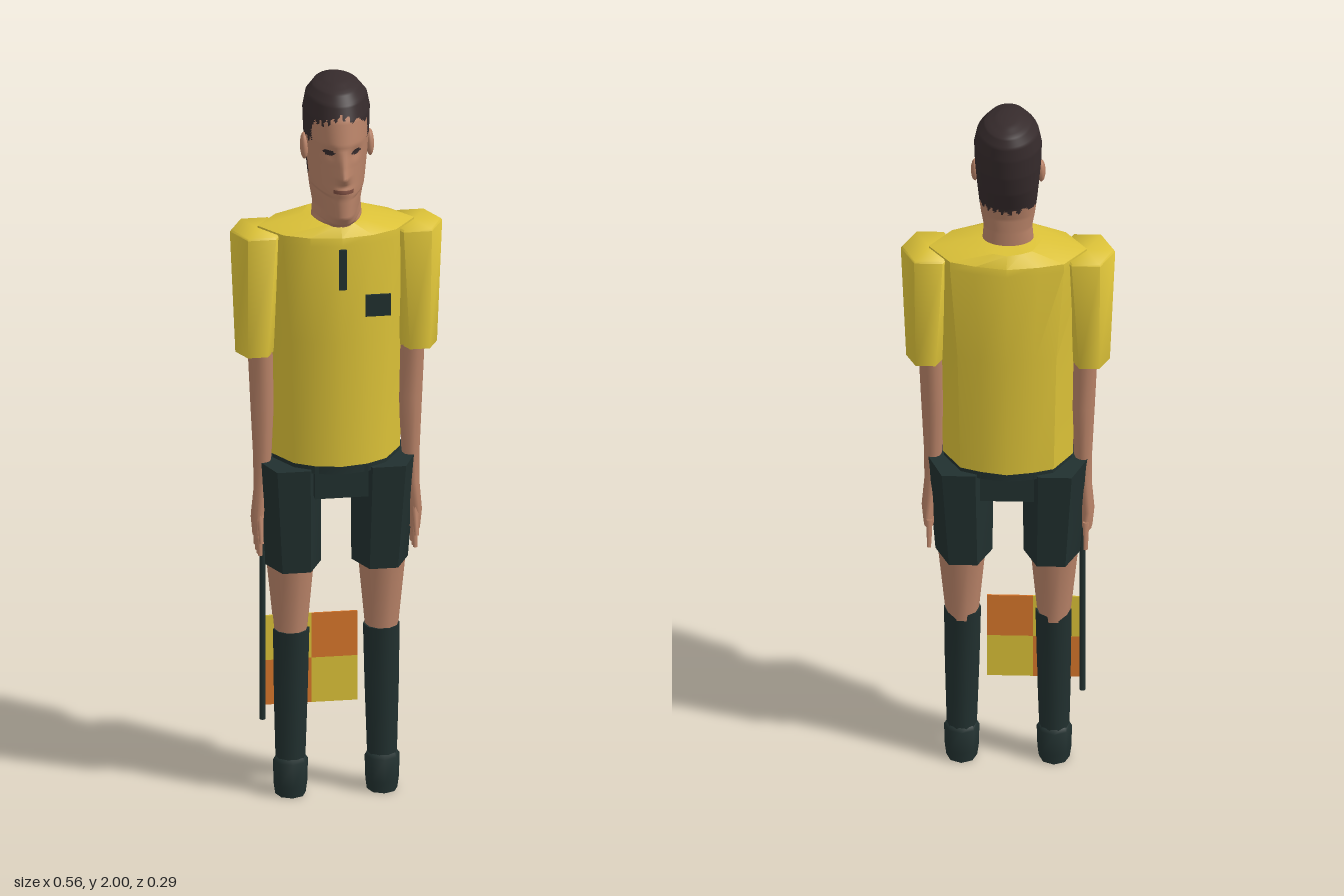
import * as THREE from 'three';
import { toCreasedNormals } from 'three/addons/utils/BufferGeometryUtils.js';

const mat = (name, color, side = THREE.FrontSide) => {
  const m = new THREE.MeshStandardMaterial({ color, side });
  m.name = name;
  return m;
};

// Skin a stack of closed rings (bottom to top, each running from +x towards +z).
function loftData(rings) {
  const n = rings[0].length, pos = rings.flat(2), faces = [];
  const centre = (r) => [0, 1, 2].map((k) => r.reduce((s, p) => s + p[k], 0) / n);
  for (let j = 0; j < rings.length - 1; j++)
    for (let i = 0; i < n; i++) {
      const a = j * n + i, b = j * n + (i + 1) % n;
      faces.push([a, a + n, b], [b, a + n, b + n]);
    }
  const low = rings.length * n, top = low - n;
  pos.push(...centre(rings[0]), ...centre(rings[rings.length - 1]));
  for (let i = 0; i < n; i++) {
    const k = (i + 1) % n;
    faces.push([low, i, k], [low + 1, top + k, top + i]);
  }
  const geo = new THREE.BufferGeometry();
  geo.setAttribute('position', new THREE.Float32BufferAttribute(pos, 3));
  return { geo, faces };
}

function loft(rings, crease = 1.1) {
  const { geo, faces } = loftData(rings);
  geo.setIndex(faces.flat());
  return toCreasedNormals(geo, crease);
}

// Elliptical ring with n sides.
const ring = (y, cx, cz, rx, rz, n = 6) => Array.from({ length: n }, (_, i) => {
  const a = (i / n) * Math.PI * 2;
  return [cx + rx * Math.cos(a), y, cz + rz * Math.sin(a)];
});

// Torso section: pointed at the sides, gently bowed front and back.
const half = [[1, -0.03], [0.72, 0.05], [0.4, 0.082], [0, 0.095]];
const back = [[0.4, -0.128], [0.72, -0.108]];
const outline = [...half, ...half.slice(0, 3).reverse().map(([x, z]) => [-x, z]),
  ...back.slice().reverse().map(([x, z]) => [-x, z]), [0, -0.142], ...back];
const torsoRing = (y, hw, depth) =>
  outline.map(([x, z]) => [x * hw, y, -0.025 + (z + 0.025) * depth]);

// Head profile: y, front z, back z, half width.
const PROFILE = [
  [1.56, 0.045, -0.065, 0.06], [1.62, 0.07, -0.065, 0.066], [1.635, 0.105, -0.065, 0.065],
  [1.66, 0.123, -0.065, 0.063], [1.7, 0.122, -0.066, 0.07], [1.74, 0.12, -0.076, 0.075],
  [1.8, 0.114, -0.1, 0.081], [1.86, 0.114, -0.115, 0.086], [1.92, 0.1, -0.123, 0.088],
  [1.96, 0.082, -0.123, 0.08], [1.985, 0.055, -0.11, 0.06], [2.0, 0.01, -0.07, 0.025],
];
function profileAt(y) {
  let i = 0;
  while (i < PROFILE.length - 2 && y > PROFILE[i + 1][0]) i++;
  const [a, b] = [PROFILE[i], PROFILE[i + 1]], t = (y - a[0]) / (b[0] - a[0]);
  return a.map((v, k) => v + (b[k] - v) * t);
}
const bump = (v, c, w) => Math.exp(-(((v - c) / w) ** 2));

function headRing(y) {
  const [, zf, zb, hw] = profileAt(y), zc = -0.02;
  const taper = y < 1.72 && y > 1.625 ? 0.4 : 0.18;
  const nose = y > 1.775 ? Math.max(0, (1.85 - y) / 0.075) : Math.max(0, (y - 1.75) / 0.025);
  return Array.from({ length: 80 }, (_, i) => {
    const a = (i / 80) * Math.PI * 2, s = Math.sin(a);
    const x = hw * Math.cos(a) * (s > 0 ? 1 - taper * s * Math.abs(Math.cos(a)) : 1);
    let z = zc + (s > 0 ? (zf - zc) * s : (zc - zb) * s);
    if (s > 0) {
      z += 0.027 * nose * bump(x, 0, 0.015);
      z -= 0.008 * bump(Math.abs(x), 0.035, 0.015) * bump(y, 1.835, 0.016);
      z += 0.005 * bump(y, 1.733, 0.014) * bump(x, 0, 0.025);
    }
    return [x, y, z];
  });
}

// 0 skin, 1 hair and eyes, 2 lips
function headColour(x, y, z) {
  const ax = Math.abs(x);
  let line = z > 0.035 ? 1.9 + 0.035 * (1 - ax / 0.08) : z > -0.012 ? 1.85 : 1.74 - 0.015 * (1 - ax / 0.08);
  line += 0.008 * Math.sin(x * 300 + z * 170);
  if (y > line) return 1;
  if (z > 0.03 && ((ax - 0.036) / 0.014) ** 2 + ((y - 1.838) / 0.007) ** 2 < 1) return 1;
  if (z > 0.03 && ax < 0.026 && Math.abs(y - 1.735) < 0.004) return 2;
  return 0;
}

function headGeometry() {
  const rows = Array.from({ length: 89 }, (_, j) => headRing(1.56 + j * 0.005));
  const { geo, faces } = loftData(rows);
  const p = geo.attributes.position, buckets = [[], [], []];
  for (const f of faces) {
    const [x, y, z] = ['getX', 'getY', 'getZ'].map((g) => f.reduce((s, v) => s + p[g](v), 0) / 3);
    buckets[headColour(x, y, z)].push(...f);
  }
  geo.setIndex(buckets.flat());
  let start = 0;
  buckets.forEach((b, k) => { geo.addGroup(start, b.length, k); start += b.length; });
  geo.computeVertexNormals();
  return geo;
}

export function createModel() {
  const model = new THREE.Group();
  const yellow = mat('shirt yellow', 0xdcc238);
  const dark = mat('dark green', 0x21302f);
  const skin = mat('skin', 0xb98368);
  const hair = mat('hair brown', 0x362b2c);
  const lips = mat('lips', 0x7c4d40);
  const orange = mat('flag orange', 0xd9772b);

  const add = (name, geo, material, x = 0, y = 0, z = 0, parent = model) => {
    const m = new THREE.Mesh(geo, material);
    m.name = name;
    m.position.set(x, y, z);
    parent.add(m);
    return m;
  };
  const box = (name, w, h, d, material, x, y, z) =>
    add(name, new THREE.BoxGeometry(w, h, d), material, x, y, z);

  // Head and ears
  add('head', headGeometry(), [skin, hair, lips]);
  for (const s of [1, -1]) {
    const ear = add(s > 0 ? 'leftEar' : 'rightEar', new THREE.SphereGeometry(1, 12, 8), skin, s * 0.086, 1.82, -0.008);
    ear.scale.set(0.011, 0.036, 0.02);
    ear.rotation.x = -0.2;
  }

  // Shirt and waistband
  add('shirt', loft([torsoRing(0.952, 0.168, 0.96), torsoRing(1.3, 0.178, 1.03),
    torsoRing(1.57, 0.205, 0.97), torsoRing(1.592, 0.205, 0.94), torsoRing(1.62, 0.09, 0.75)], 0.6), yellow);
  add('waistband', loft([torsoRing(0.93, 0.166, 0.95), torsoRing(0.953, 0.166, 0.95)], 0.6), dark);
  box('shortsCentre', 0.14, 0.09, 0.2, dark, 0, 0.905, -0.022);

  // Painted shirt details
  box('placket', 0.02, 0.112, 0.006, dark, 0, 1.508, 0.098);
  box('chestPocket', 0.066, 0.06, 0.006, dark, 0.093, 1.403, 0.095);

  for (const s of [1, -1]) {
    const side = s > 0 ? 'left' : 'right';
    const R = (y, cx, cz, rx, rz, n) => ring(y, s * cx, cz, rx, rz, n);

    // Sleeve
    add(side + 'Sleeve', loft([R(1.245, 0.212, -0.022, 0.052, 0.058), R(1.582, 0.204, -0.025, 0.074, 0.084),
      R(1.587, 0.204, -0.025, 0.07, 0.08)]), yellow);

    // Arm down to the wrist, then the palm
    add(side + 'Arm', loft([
      R(0.73, 0.205, -0.024, 0.014, 0.036, 10), R(0.78, 0.207, -0.02, 0.017, 0.036, 10),
      R(0.86, 0.2, -0.018, 0.017, 0.021, 10), R(0.95, 0.194, -0.018, 0.024, 0.025, 10),
      R(1.1, 0.194, -0.021, 0.031, 0.033, 10), R(1.3, 0.2, -0.022, 0.034, 0.042, 10)]), skin);

    // Fingers and thumb fan out below the palm
    const hand = new THREE.Group();
    hand.name = side + 'Hand';
    model.add(hand);
    for (let i = 0; i < 5; i++) {
      const thumb = i === 4;
      const f = add(thumb ? 'thumb' : 'finger', new THREE.CylinderGeometry(0.009, 0.006, 0.075, 6), skin,
        s * 0.203, thumb ? 0.758 : 0.712 + 0.004 * Math.abs(i - 1.5), thumb ? 0.018 : -0.065 + i * 0.022, hand);
      f.rotation.x = thumb ? -0.4 : 0.25 - i * 0.15;
    }

    // Shorts leg, bare knee, sock and boot
    add(side + 'ShortsLeg', loft([R(0.645, 0.114, -0.024, 0.074, 0.09), R(0.94, 0.125, -0.024, 0.087, 0.12)]), dark);
    add(side + 'Leg', loft([R(0.44, 0.119, -0.023, 0.042, 0.044, 10), R(0.68, 0.12, -0.024, 0.065, 0.066, 10)]), skin);
    add(side + 'Sock', loft([R(0.06, 0.12, -0.021, 0.038, 0.038, 10), R(0.3, 0.119, -0.021, 0.045, 0.043, 10),
      R(0.463, 0.118, -0.021, 0.048, 0.047, 10)]), dark);
    add(side + 'Boot', loft([R(0, 0.12, -0.02, 0.04, 0.043, 8), R(0.03, 0.12, -0.02, 0.044, 0.047, 8),
      R(0.095, 0.12, -0.02, 0.046, 0.048, 8), R(0.105, 0.12, -0.02, 0.039, 0.041, 8)]), dark);
  }

  // Flag held in the right hand: pole and chequered cloth
  add('flagPole', new THREE.CylinderGeometry(0.008, 0.008, 0.62, 8), dark, -0.193, 0.52, -0.022);
  const columns = [[-0.187, -0.065], [-0.065, 0.055]];
  columns.forEach(([x0, x1], c) => {
    for (let r = 0; r < 2; r++)
      box('flagPanel', x1 - x0, 0.125, 0.004, (c + r) % 2 ? yellow : orange, (x0 + x1) / 2, 0.3125 + r * 0.125, -0.022);
  });
  return model;
}
